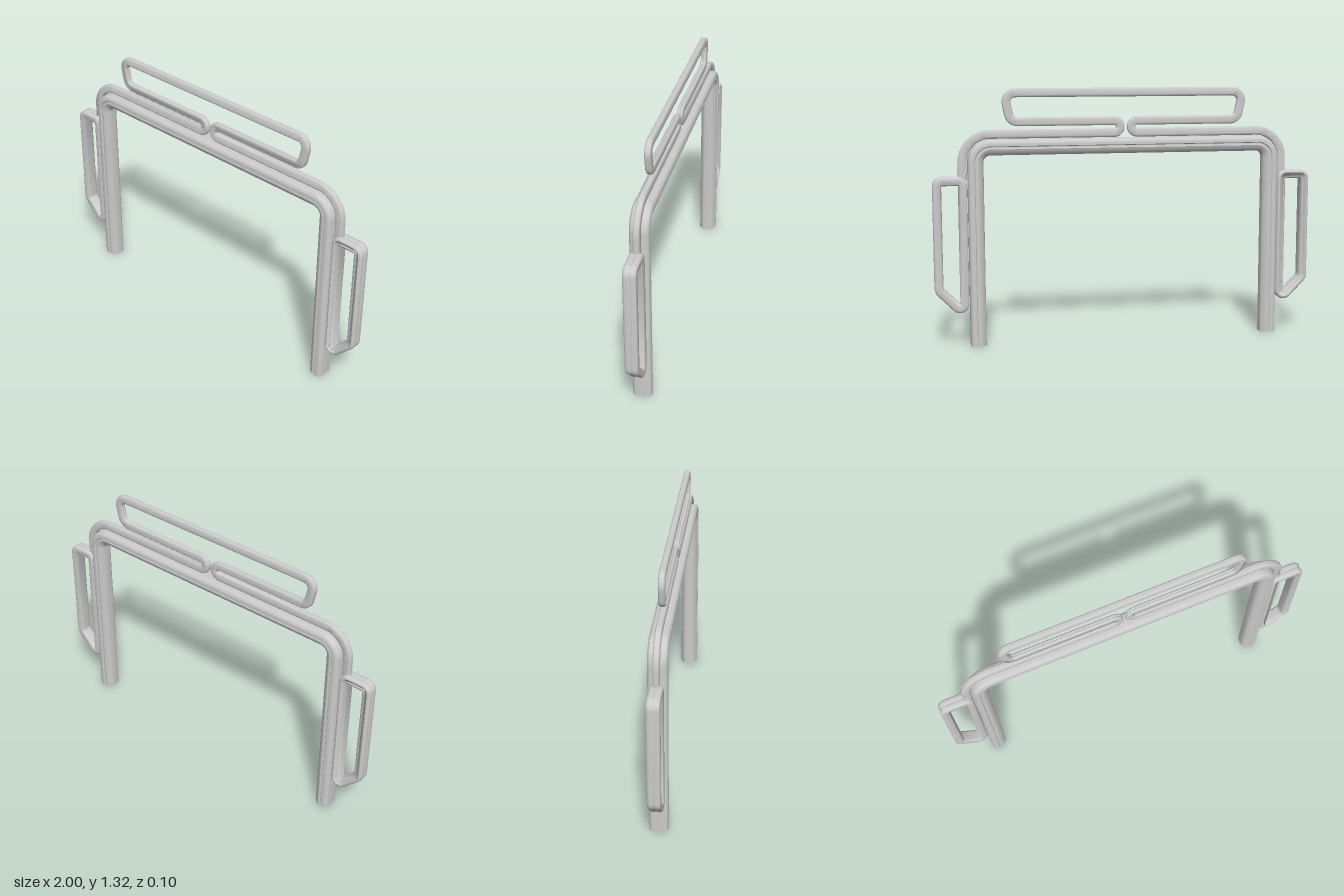
import * as THREE from 'three';
import { toCreasedNormals } from 'three/addons/utils/BufferGeometryUtils.js';

const material = new THREE.MeshStandardMaterial({ color: 0xcccccc });

// Turns corners [x, y, radius] into stations { p, t } with true arcs at the bends.
function bend(corners, closed) {
  const v = corners.map(([x, y]) => new THREE.Vector2(x, y));
  const n = v.length;
  const stations = [];
  const left = (d) => new THREE.Vector2(-d.y, d.x);
  const add = (p, t) => {
    const last = stations[stations.length - 1];
    if (!last || last.p.distanceTo(p) > 1e-4) stations.push({ p, t });
  };
  for (let i = 0; i < n; i++) {
    const r = corners[i][2];
    const dIn = v[i].clone().sub(v[(i + n - 1) % n]).normalize();
    const dOut = v[(i + 1) % n].clone().sub(v[i]).normalize();
    if (!closed && i === 0) { add(v[i], dOut); continue; }
    if (!closed && i === n - 1) { add(v[i], dIn); continue; }
    const turn = Math.atan2(dIn.cross(dOut), dIn.dot(dOut));
    const s = Math.sign(turn) * r;
    const start = v[i].clone().addScaledVector(dIn, -r * Math.tan(Math.abs(turn) / 2));
    const centre = start.addScaledVector(left(dIn), s);
    const steps = Math.max(4, Math.ceil(Math.abs(turn) / 0.11));
    for (let k = 0; k <= steps; k++) {
      const t = dIn.clone().rotateAround(new THREE.Vector2(), (turn * k) / steps);
      add(centre.clone().addScaledVector(left(t), -s), t);
    }
  }
  return stations;
}

// Sweeps a section of [across, z] points, counterclockwise, along a path in the xy plane.
function sweep(name, section, corners, closed = false) {
  const path = bend(corners, closed);
  const m = section.length;
  const pos = [];
  const index = [];
  for (const { p, t } of path) {
    for (const [u, z] of section) pos.push(p.x - t.y * u, p.y + t.x * u, z);
  }
  const spans = closed ? path.length : path.length - 1;
  for (let i = 0; i < spans; i++) {
    const a = i * m;
    const b = ((i + 1) % path.length) * m;
    for (let j = 0; j < m; j++) {
      const k = (j + 1) % m;
      index.push(a + j, a + k, b + j, a + k, b + k, b + j);
    }
  }
  // flat caps on open ends
  if (!closed) {
    for (const i of [0, path.length - 1]) {
      const c = pos.length / 3;
      pos.push(path[i].p.x, path[i].p.y, 0);
      for (let j = 0; j < m; j++) {
        const a = i * m + j;
        const b = i * m + ((j + 1) % m);
        if (i) index.push(c, a, b);
        else index.push(c, b, a);
      }
    }
  }
  const geometry = new THREE.BufferGeometry();
  geometry.setAttribute('position', new THREE.Float32BufferAttribute(pos, 3));
  geometry.setIndex(index);
  const mesh = new THREE.Mesh(toCreasedNormals(geometry, 0.6), material);
  mesh.name = name;
  return mesh;
}

// Rounded bar section with a fine groove along the middle of its two edges.
function barSection(w, d, r, groove) {
  const pts = [];
  [[1, 1], [-1, 1], [-1, -1], [1, -1]].forEach(([su, sz], q) => {
    for (let k = 0; k <= 4; k++) {
      const a = ((q + k / 4) * Math.PI) / 2;
      pts.push([su * (w - r) + r * Math.cos(a), sz * (d - r) + r * Math.sin(a)]);
    }
    if (q % 2 === 0) pts.push([-w, groove], [-w + 0.004, 0], [-w, -groove]);
    if (q === 0) return;
    if (q === 2) {
      // the far edge is grooved after the last corner instead
      pts.splice(-3, 3);
    }
  });
  pts.push([w, -groove], [w - 0.004, 0], [w, groove]);
  return pts;
}

export function createModel() {
  const model = new THREE.Group();

  // main hoop: rounded outside, grooved on its faces, chamfered inside
  const half = [
    [0.04, 0.028], [0.038, 0.036], [0.033, 0.043], [0.026, 0.047], [0.018, 0.048],
    [0.008, 0.048], [0.004, 0.043], [-0.004, 0.043], [-0.008, 0.045],
    [-0.016, 0.043], [-0.034, 0.029], [-0.038, 0.024], [-0.04, 0.017],
  ];
  const hoopSection = [...half, ...half.map(([u, z]) => [u, -z]).reverse()];
  model.add(sweep('mainHoop', hoopSection, [
    [-0.78, 0, 0], [-0.78, 1.027, 0.075], [0.78, 1.027, 0.075], [0.78, 0, 0],
  ]));

  // one bent rod: over the hoop, curled back at the middle, then the long top loop
  const rodHalf = [
    [0.847, 0.86, 0], [0.847, 1.093, 0.14],
    [0.029, 1.093, 0.0309], [0.029, 1.155, 0.0309],
    [0.6, 1.155, 0.045], [0.63, 1.302, 0.045],
  ];
  const rodPath = [...rodHalf, ...rodHalf.map(([x, y, r]) => [-x, y, r]).reverse()];
  model.add(sweep('topRod', barSection(0.0225, 0.016, 0.011, 0.003), rodPath));

  // side handles
  const handleSection = barSection(0.0225, 0.033, 0.014, 0.008);
  const handlePath = [
    [0.847, 0.164, 0.025], [0.847, 0.858, 0.025],
    [0.9775, 0.858, 0.025], [0.9775, 0.295, 0.04],
  ];
  for (const [side, turn] of [['left', 0], ['right', Math.PI]]) {
    const handle = sweep(side + 'Handle', handleSection, handlePath, true);
    handle.rotation.y = turn;
    model.add(handle);
  }
  return model;
}
